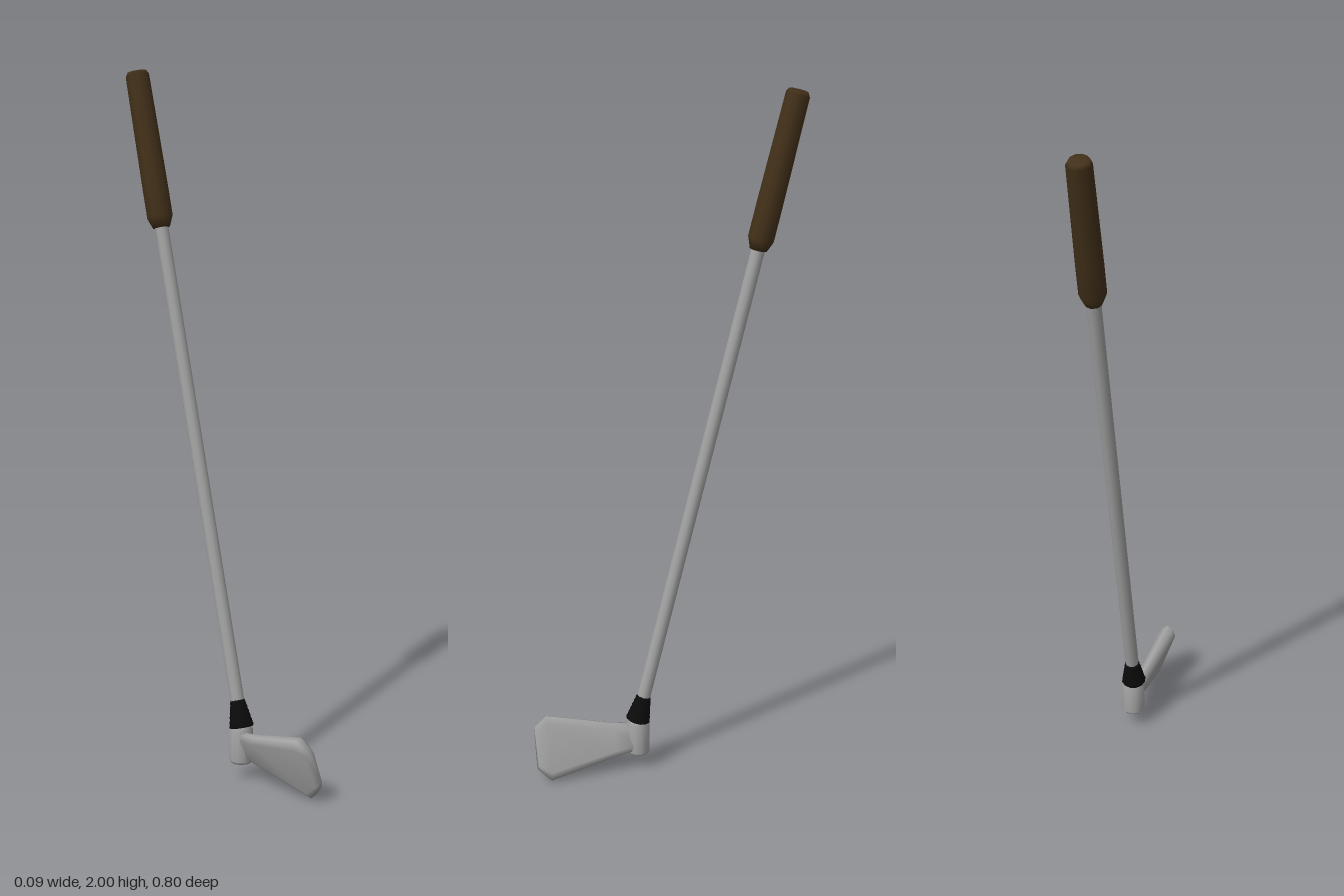
import * as THREE from 'three';

const metal = new THREE.MeshStandardMaterial({ color: 0xa3a3a3 });
metal.name = 'brushed steel';
const leather = new THREE.MeshStandardMaterial({ color: 0x423019 });
leather.name = 'brown leather';
const black = new THREE.MeshStandardMaterial({ color: 0x0b0b0b });
black.name = 'black plastic';

// Turned part from [radius, height] pairs, listed bottom to top
function turned(name, profile, sides, material) {
  const points = profile.map(([r, y]) => new THREE.Vector2(r, y));
  const mesh = new THREE.Mesh(new THREE.LatheGeometry(points, sides), material);
  mesh.name = name;
  return mesh;
}

// Blade: bevelled slab sections lofted along z and leaned back by the loft angle
function bladeGeometry() {
  const lean = 0.34, n = 8;
  // z, centre height, half height, half thickness
  const sections = [
    [0.095, 0.1, 0.04, 0.016],
    [0.17, 0.097, 0.05, 0.019],
    [0.365, 0.0955, 0.094, 0.025],
    [0.4, 0.098, 0.062, 0.014],
  ];
  const positions = [], index = [];
  for (const [z, cy, h, t] of sections) {
    const b = t * 0.9;
    const ring = [
      [t, b - h], [t, h - b], [t * 0.45, h], [-t * 0.45, h],
      [-t, h - b], [-t, b - h], [-t * 0.45, -h], [t * 0.45, -h],
    ];
    for (const [u, v] of ring) {
      positions.push(
        u * Math.cos(lean) - v * Math.sin(lean),
        cy + v * Math.cos(lean) + u * Math.sin(lean),
        z);
    }
  }
  for (let s = 0; s < sections.length - 1; s++) {
    for (let i = 0; i < n; i++) {
      const a = s * n + i, b = s * n + (i + 1) % n;
      index.push(a, b, b + n, a, b + n, a + n);
    }
  }
  // End caps
  const last = (sections.length - 1) * n;
  for (let i = 1; i < n - 1; i++) {
    index.push(last, last + i, last + i + 1);
    index.push(0, i + 1, i);
  }
  const geometry = new THREE.BufferGeometry();
  geometry.setAttribute('position', new THREE.Float32BufferAttribute(positions, 3));
  geometry.setIndex(index);
  geometry.computeVertexNormals();
  return geometry;
}

export function createModel() {
  const club = new THREE.Group();
  club.name = 'golfClub';

  // Head: blade and upright socket
  const head = new THREE.Group();
  head.name = 'head';
  const blade = new THREE.Mesh(bladeGeometry(), metal);
  blade.name = 'blade';
  const hosel = turned('hosel', [
    [0, 0.048], [0.028, 0.048], [0.034, 0.056], [0.034, 0.146], [0.018, 0.165],
  ], 12, metal);
  hosel.position.z = 0.094;
  head.add(blade, hosel);
  club.add(head);

  // Everything above the head follows the slanted shaft axis
  const stick = new THREE.Group();
  stick.name = 'stick';
  stick.position.set(0, 0.152, 0.096);
  stick.rotation.x = -Math.atan(0.25);

  // Ribbed collar tapering up to the shaft
  const ribs = [[0, 0], [0.033, 0]];
  const count = 6, height = 0.08;
  for (let i = 0; i < count; i++) {
    const r = 0.036 - 0.013 * i / (count - 1);
    ribs.push([r, (i + 0.3) * height / count], [r - 0.003, (i + 0.9) * height / count]);
  }
  ribs.push([0, height]);
  stick.add(turned('collar', ribs, 12, black));

  // Shaft
  const shaft = new THREE.Mesh(new THREE.CylinderGeometry(0.02, 0.02, 1.45, 10, 1, true), metal);
  shaft.name = 'shaft';
  shaft.position.y = 0.765;
  stick.add(shaft);

  // Grip with bevelled ends
  stick.add(turned('grip', [
    [0, 1.444], [0.025, 1.444], [0.038, 1.475], [0.038, 1.57],
    [0.035, 1.885], [0.028, 1.897], [0, 1.898],
  ], 10, leather));

  club.add(stick);
  return club;
}
